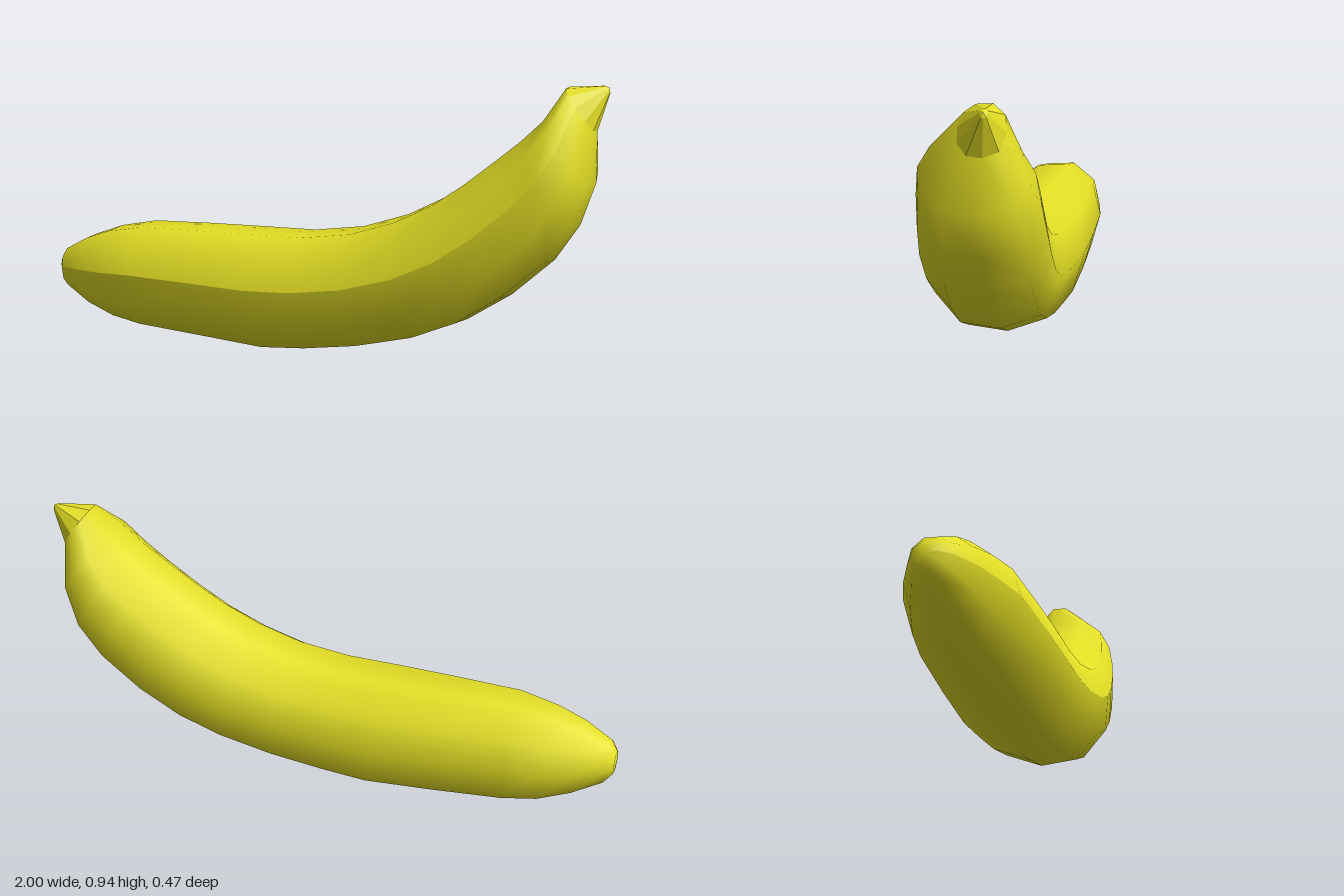
import * as THREE from 'three';

// Rounded, slightly irregular cross-section: [sideways, up]; it starts on the front ridge
const SECTION = [[1, 0.1], [0.9, -0.52], [0.47, -0.95], [-0.17, -1], [-0.8, -0.75],
  [-1, -0.05], [-0.83, 0.6], [-0.28, 1], [0.4, 0.95], [0.84, 0.62]];

// Stations: lower x, lower y, upper x, upper y, back z, front z
const BODY = [
  [-1, 0.235, -1, 0.235, 0.04, 0.04],
  [-1, 0.2, -1, 0.27, 0, 0.08],
  [-0.97, 0.155, -0.975, 0.3, -0.02, 0.12],
  [-0.87, 0.1, -0.88, 0.35, -0.07, 0.165],
  [-0.76, 0.06, -0.78, 0.385, -0.11, 0.195],
  [-0.64, 0.04, -0.64, 0.41, -0.135, 0.22],
  [-0.39, 0.02, -0.4, 0.413, -0.155, 0.23],
  [-0.15, 0, -0.19, 0.413, -0.165, 0.235],
  [0.01, 0.01, -0.01, 0.413, -0.165, 0.23],
  [0.2, 0.035, 0.17, 0.435, -0.175, 0.225],
  [0.4, 0.08, 0.33, 0.485, -0.19, 0.22],
  [0.55, 0.14, 0.46, 0.55, -0.205, 0.21],
  [0.7, 0.235, 0.56, 0.62, -0.22, 0.195],
  [0.84, 0.36, 0.66, 0.7, -0.232, 0.175],
  [0.92, 0.48, 0.74, 0.765, -0.235, 0.155],
  [0.97, 0.62, 0.81, 0.83, -0.205, 0.13],
  [0.965, 0.79, 0.865, 0.93, -0.15, 0],
];
const STEM = [
  BODY[BODY.length - 1],
  [1, 0.912, 0.98, 0.936, -0.112, -0.088],
  [0.998, 0.93, 0.998, 0.93, -0.1, -0.1],
];

// Skins the stations; the open seam keeps a crisp ridge along the front
function loft(stations) {
  const positions = [], index = [], n = SECTION.length;
  stations.forEach(([lx, ly, ux, uy, back, front], i) => {
    for (let j = 0; j <= n; j++) {
      const [u, v] = SECTION[j % n];
      positions.push(
        (lx + ux) / 2 + v * (ux - lx) / 2,
        (ly + uy) / 2 + v * (uy - ly) / 2,
        (back + front) / 2 + u * (front - back) / 2);
      if (i === stations.length - 1 || j === n) continue;
      const a = i * (n + 1) + j, c = a + n + 1;
      index.push(a, a + 1, c, a + 1, c + 1, c);
    }
  });
  const geometry = new THREE.BufferGeometry();
  geometry.setAttribute('position', new THREE.Float32BufferAttribute(positions, 3));
  geometry.setIndex(index);
  geometry.computeVertexNormals();
  return geometry;
}

export function createModel() {
  const group = new THREE.Group();
  group.name = 'banana';
  const color = 0xe5e025;

  // Curved fruit with a blunt closed tip
  const fruit = new THREE.Mesh(loft(BODY), new THREE.MeshStandardMaterial({ color }));
  fruit.name = 'fruit';

  // Faceted stem narrowing to a point
  const stem = new THREE.Mesh(loft(STEM), new THREE.MeshStandardMaterial({ color, flatShading: true }));
  stem.name = 'stem';

  group.add(fruit, stem);
  return group;
}
